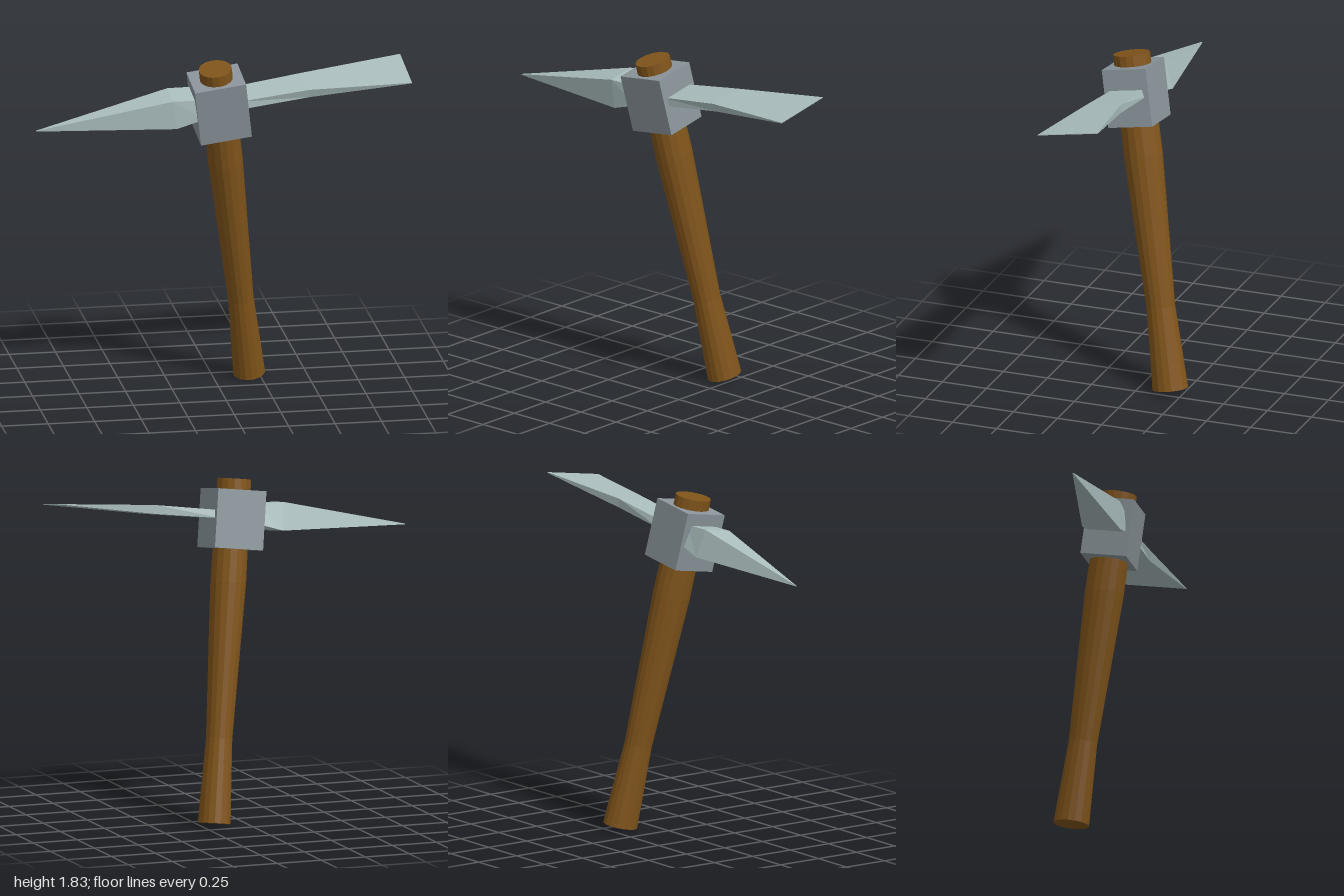
import * as THREE from 'three';

const material = (color) => new THREE.MeshStandardMaterial({ color, flatShading: true });

// Lofts four-cornered sections [x, topY, topHalfDepth, bottomY, bottomHalfDepth] along +x
function loft(sections) {
  const positions = [];
  const index = [];
  for (const [x, yt, dt, yb, db] of sections) {
    positions.push(x, yt, -dt, x, yt, dt, x, yb, db, x, yb, -db);
  }
  for (let i = 0; i < sections.length - 1; i++) {
    for (let j = 0; j < 4; j++) {
      const a = i * 4 + j;
      const b = i * 4 + (j + 1) % 4;
      index.push(a, b, b + 4, a, b + 4, a + 4);
    }
  }
  const e = (sections.length - 1) * 4;
  index.push(0, 2, 1, 0, 3, 2, e, e + 1, e + 2, e, e + 2, e + 3);
  const geometry = new THREE.BufferGeometry();
  geometry.setAttribute('position', new THREE.Float32BufferAttribute(positions, 3));
  geometry.setIndex(index);
  const flat = geometry.toNonIndexed();
  flat.computeVertexNormals();
  return flat;
}

export function createModel() {
  const group = new THREE.Group();
  group.name = 'pickaxe';
  const add = (name, geometry, mat) => {
    const mesh = new THREE.Mesh(geometry, mat);
    mesh.name = name;
    group.add(mesh);
    return mesh;
  };
  const steel = material(0xaabdbd);

  // Oval wooden handle, waisted above the butt and passing through the head
  const profile = [[0, -1.615], [0.097, -1.615], [0.078, -1.165], [0.106, -0.335], [0.1, 0.215], [0, 0.215]]
    .map(([r, y]) => new THREE.Vector2(r, y));
  const handle = new THREE.LatheGeometry(profile, 16);
  handle.scale(0.88, 1, 1);
  add('handle', handle, material(0x80541a));

  // Block that clamps the handle
  add('headBlock', new THREE.BoxGeometry(0.276, 0.315, 0.25), material(0x8a959b));

  // Pointed spike, wider along its underside
  add('spike', loft([
    [-0.99, 0.036, 0.002, 0.032, 0.002],
    [-0.255, 0.108, 0.081, -0.045, 0.105],
    [-0.1, 0.087, 0.081, -0.018, 0.105],
  ]), steel);

  // Flat blade that flares to a thin cutting edge
  add('blade', loft([
    [0.1, 0.043, 0.09, 0, 0.098],
    [0.473, 0.047, 0.102, 0, 0.095],
    [1.015, 0.019, 0.171, 0.015, 0.171],
  ]), steel);

  // Leaning pose
  group.rotation.set(0.17, 0, 0.13, 'ZXY');
  group.position.set(-0.013, 1.6, 0.097);

  const model = new THREE.Group();
  model.name = 'leaningPickaxe';
  model.add(group);
  return model;
}
